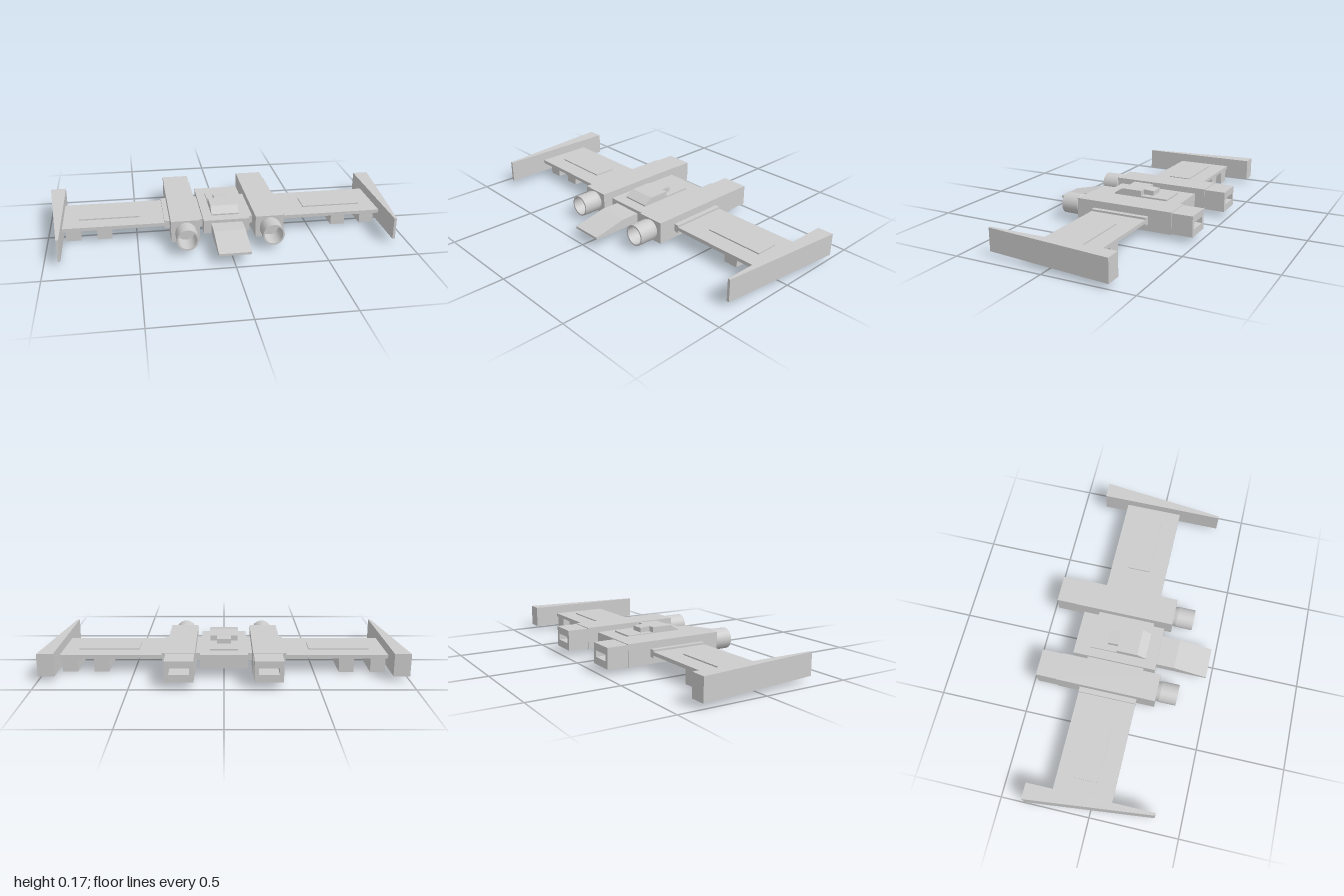
import * as THREE from 'three';

const material = new THREE.MeshStandardMaterial({ color: 0xcccccc, flatShading: true });
const smooth = new THREE.MeshStandardMaterial({ color: 0xcccccc, side: THREE.DoubleSide });

function add(parent, name, geometry, mat = material) {
  const mesh = new THREE.Mesh(geometry, mat);
  mesh.name = name;
  parent.add(mesh);
  return mesh;
}

// Box given by its extents along each axis
function box(parent, name, [x0, x1], [y0, y1], [z0, z1]) {
  const g = new THREE.BoxGeometry(x1 - x0, y1 - y0, z1 - z0);
  g.translate((x0 + x1) / 2, (y0 + y1) / 2, (z0 + z1) / 2);
  return add(parent, name, g);
}

function shapeOf(points) {
  return new THREE.Shape(points.map(([a, b]) => new THREE.Vector2(a, b)));
}

function extrude(shape, depth) {
  return new THREE.ExtrudeGeometry(shape, { depth, bevelEnabled: false });
}

// Side outline in (z, y), extruded across x and centred on x = 0
function sideProfile(points, width) {
  const g = extrude(shapeOf(points.map(([z, y]) => [-z, y])), width);
  g.rotateY(Math.PI / 2);
  return g.translate(-width / 2, 0, 0);
}

// Plan outline in (x, z), extruded upwards from y0 to y1
function planProfile(points, y0, y1) {
  const g = extrude(shapeOf(points.map(([x, z]) => [x, -z])), y1 - y0);
  g.rotateX(-Math.PI / 2);
  return g.translate(0, y0, 0);
}

function buildFuselage() {
  const body = new THREE.Group();
  body.name = 'fuselage';
  box(body, 'hull', [-0.13, 0.13], [0.05, 0.127], [-0.305, 0.175]);
  add(body, 'nose', sideProfile(
    [[0.17, 0.055], [0.47, 0.055], [0.47, 0.068], [0.28, 0.11], [0.17, 0.11]], 0.176));
  // Cockpit: sloped windscreen, narrow spine and low rear deck
  add(body, 'canopy', sideProfile(
    [[-0.06, 0.12], [0.11, 0.12], [0.11, 0.135], [0.06, 0.166], [-0.06, 0.166]], 0.156));
  add(body, 'canopySpine', sideProfile(
    [[-0.12, 0.12], [-0.06, 0.12], [-0.06, 0.166], [-0.12, 0.162]], 0.08));
  box(body, 'rearDeck', [-0.078, 0.078], [0.12, 0.136], [-0.22, -0.06]);
  return body;
}

function buildEngine() {
  const engine = new THREE.Group();
  engine.name = 'engine';
  box(engine, 'engineHousing', [-0.08, 0.08], [-0.062, 0.062], [-0.355, 0.215]);

  // Rear exhaust block with a recessed slot
  const exhaust = shapeOf([[-0.077, -0.058], [0.077, -0.058], [0.077, 0.058], [-0.077, 0.058]]);
  exhaust.holes.push(new THREE.Path(
    [[-0.055, -0.018], [-0.055, 0.018], [0.055, 0.018], [0.055, -0.018]]
      .map(([x, y]) => new THREE.Vector2(x, y))));
  add(engine, 'exhaustBlock', extrude(exhaust, 0.12).translate(0, 0, -0.475));

  // Hollow front intake; each straight run has its own ring so edges stay sharp
  const runs = [
    [[0.053, 0.21], [0.06, 0.235]],
    [[0.06, 0.235], [0.06, 0.332]],
    [[0.06, 0.332], [0.051, 0.332]],
    [[0.051, 0.332], [0.051, 0.217]],
    [[0.051, 0.217], [0, 0.217]],
  ];
  for (const run of runs) {
    const g = new THREE.LatheGeometry(run.map(([r, z]) => new THREE.Vector2(r, z)), 24);
    add(engine, 'intake', g.rotateX(Math.PI / 2), smooth);
  }
  engine.position.set(0.236, 0.09, 0);
  return engine;
}

// Everything on the +x side
function buildWing() {
  const wing = new THREE.Group();
  wing.name = 'wing';
  box(wing, 'wingPanel', [0.3, 0.915], [0.08, 0.1], [-0.22, 0.11]);
  box(wing, 'wingRoot', [0.31, 0.345], [0.067, 0.111], [-0.22, 0.11]);
  box(wing, 'engineMount', [0.12, 0.16], [0.067, 0.111], [-0.22, 0.11]);
  box(wing, 'raisedPlate', [0.48, 0.82], [0.095, 0.107], [-0.12, 0.01]);
  for (const x of [0.64, 0.815]) {
    box(wing, 'underwingPod', [x, x + 0.083], [0, 0.085], [-0.215, 0.06]);
  }
  add(wing, 'wingtipFin', planProfile(
    [[0.91, 0.35], [0.91, -0.363], [1, -0.363], [0.924, 0.35]], 0.026, 0.151));
  wing.add(buildEngine());
  return wing;
}

export function createModel() {
  const model = new THREE.Group();
  model.name = 'spacecraft';
  model.add(buildFuselage());
  const left = buildWing();
  left.name = 'leftWing';
  const right = buildWing();
  right.name = 'rightWing';
  right.scale.x = -1;
  model.add(left, right);
  return model;
}
